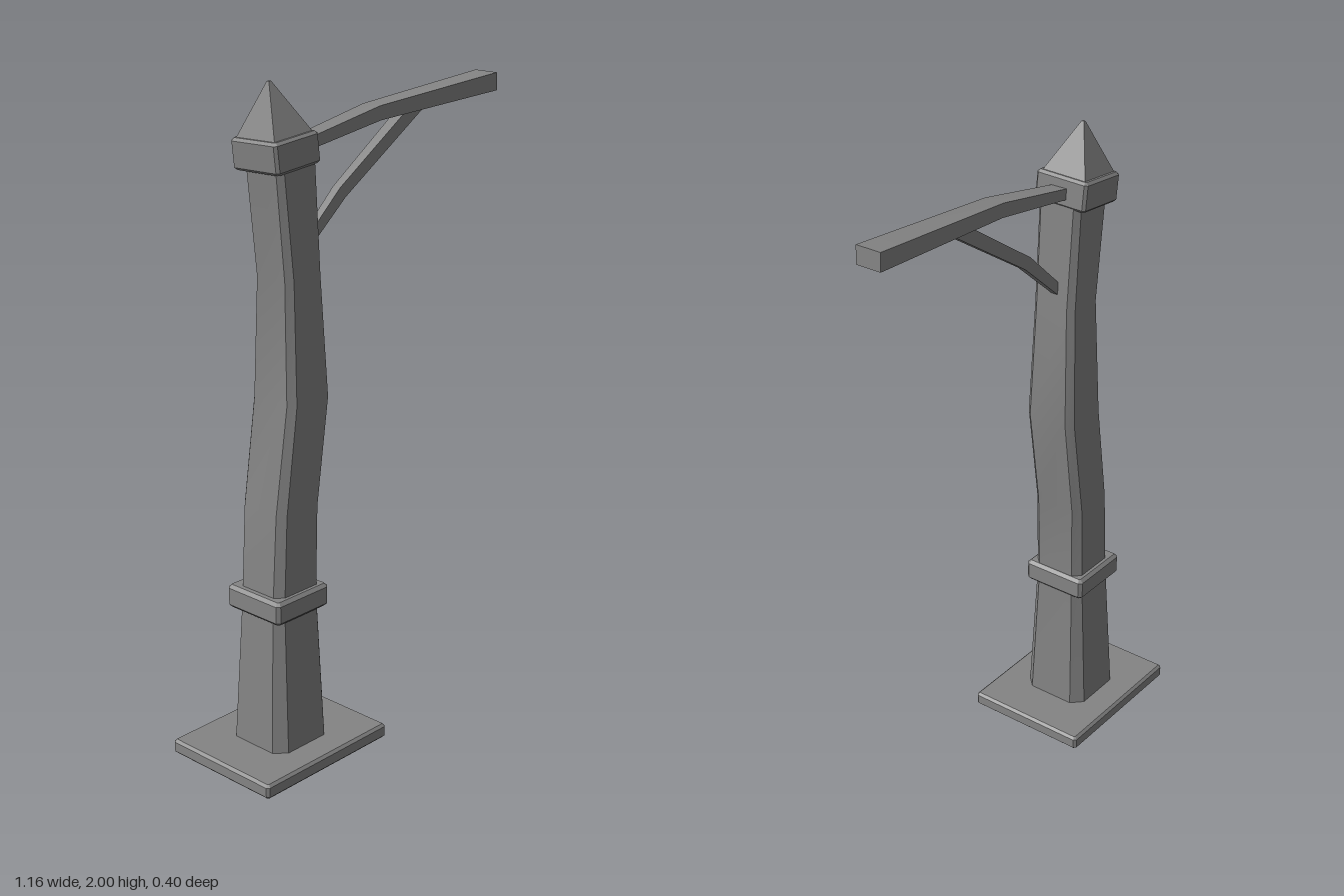
import * as THREE from 'three';
import { toCreasedNormals } from 'three/addons/utils/BufferGeometryUtils.js';

const material = new THREE.MeshStandardMaterial({ color: 0x848484 });

// Rectangle outline, with cut corners when c > 0
function outline(a, b, c) {
  if (!c) return [[a, -b], [a, b], [-a, b], [-a, -b]];
  return [[a, c - b], [a, b - c], [a - c, b], [c - a, b],
    [-a, b - c], [-a, c - b], [c - a, -b], [a - c, -b]];
}

// Lofts sections [x, y, z, halfWidth, halfDepth, cornerCut, headingDegrees];
// heading is the travel direction in the xy plane, 90 being straight up
function loft(name, sections) {
  const rings = sections.map(([x, y, z, a, b, c = 0, heading = 90]) => {
    const t = THREE.MathUtils.degToRad(heading);
    return outline(a, b, c).map(([u, v]) =>
      new THREE.Vector3(x - Math.sin(t) * u, y + Math.cos(t) * u, z + v));
  });
  const n = rings[0].length;
  const points = [];
  for (let i = 0; i + 1 < rings.length; i++) {
    for (let j = 0; j < n; j++) {
      const k = (j + 1) % n;
      const [p, q, r, s] = [rings[i][j], rings[i][k], rings[i + 1][k], rings[i + 1][j]];
      points.push(p, q, r, p, r, s);
    }
  }
  const first = rings[0], last = rings[rings.length - 1];
  for (let j = 1; j + 1 < n; j++) {
    points.push(first[0], first[j + 1], first[j], last[0], last[j], last[j + 1]);
  }
  // Gentle bends along the length stay smooth, long edges stay sharp
  const geometry = toCreasedNormals(new THREE.BufferGeometry().setFromPoints(points), 0.5);
  const mesh = new THREE.Mesh(geometry, material);
  mesh.name = name;
  return mesh;
}

// Box with every edge bevelled, standing on y
function bevelBox(name, x, y, z, w, h, d, e) {
  const a = w / 2, b = d / 2;
  return loft(name, [
    [x, y, z, a - e, b - e, e * 0.5],
    [x, y + e, z, a, b, e],
    [x, y + h - e, z, a, b, e],
    [x, y + h, z, a - e, b - e, e * 0.5],
  ]);
}

export function createModel() {
  const model = new THREE.Group();
  model.name = 'lampPost';

  model.add(bevelBox('basePlate', -0.33, 0, 0, 0.504, 0.046, 0.404, 0.008));

  // Crooked post with chamfered corners
  model.add(loft('post', [
    [-0.331, 0.04, 0, 0.11, 0.111, 0.034],
    [-0.326, 0.5, 0, 0.089, 0.087, 0.024],
    [-0.314, 0.78, 0, 0.084, 0.086, 0.022],
    [-0.267, 1.1, 0, 0.083, 0.085, 0.02],
    [-0.281, 1.46, 0.01, 0.07, 0.072, 0.018],
    [-0.307, 1.8, 0.008, 0.076, 0.073, 0.016],
  ]));
  model.add(bevelBox('lowerCollar', -0.331, 0.462, 0, 0.212, 0.072, 0.214, 0.01));

  // Slightly tilted collar and pointed roof
  const cap = new THREE.Group();
  cap.name = 'cap';
  cap.position.set(-0.315, 1.815, 0);
  cap.rotation.set(-0.03, 0, 0.09);
  cap.add(bevelBox('capCollar', 0, -0.048, 0, 0.17, 0.09, 0.176, 0.008));
  cap.add(loft('roof', [
    [0, 0.036, 0, 0.075, 0.076],
    [0, 0.186, 0, 0.004, 0.004],
  ]));
  model.add(cap);

  // Bent arm, widening towards its tip
  model.add(loft('arm', [
    [-0.26, 1.811, 0.004, 0.016, 0.026, 0, 10],
    [0.068, 1.867, 0.004, 0.021, 0.032, 0, 6],
    [0.58, 1.898, 0.005, 0.027, 0.041, 0, 3],
  ]));

  // Bent brace below the arm, its top end sunk into the arm
  model.add(loft('brace', [
    [-0.228, 1.515, 0.002, 0.015, 0.011, 0, 42],
    [-0.068, 1.658, 0.003, 0.019, 0.014, 0, 38],
    [0.255, 1.872, 0.004, 0.021, 0.02, 0, 33],
  ]));

  return model;
}
